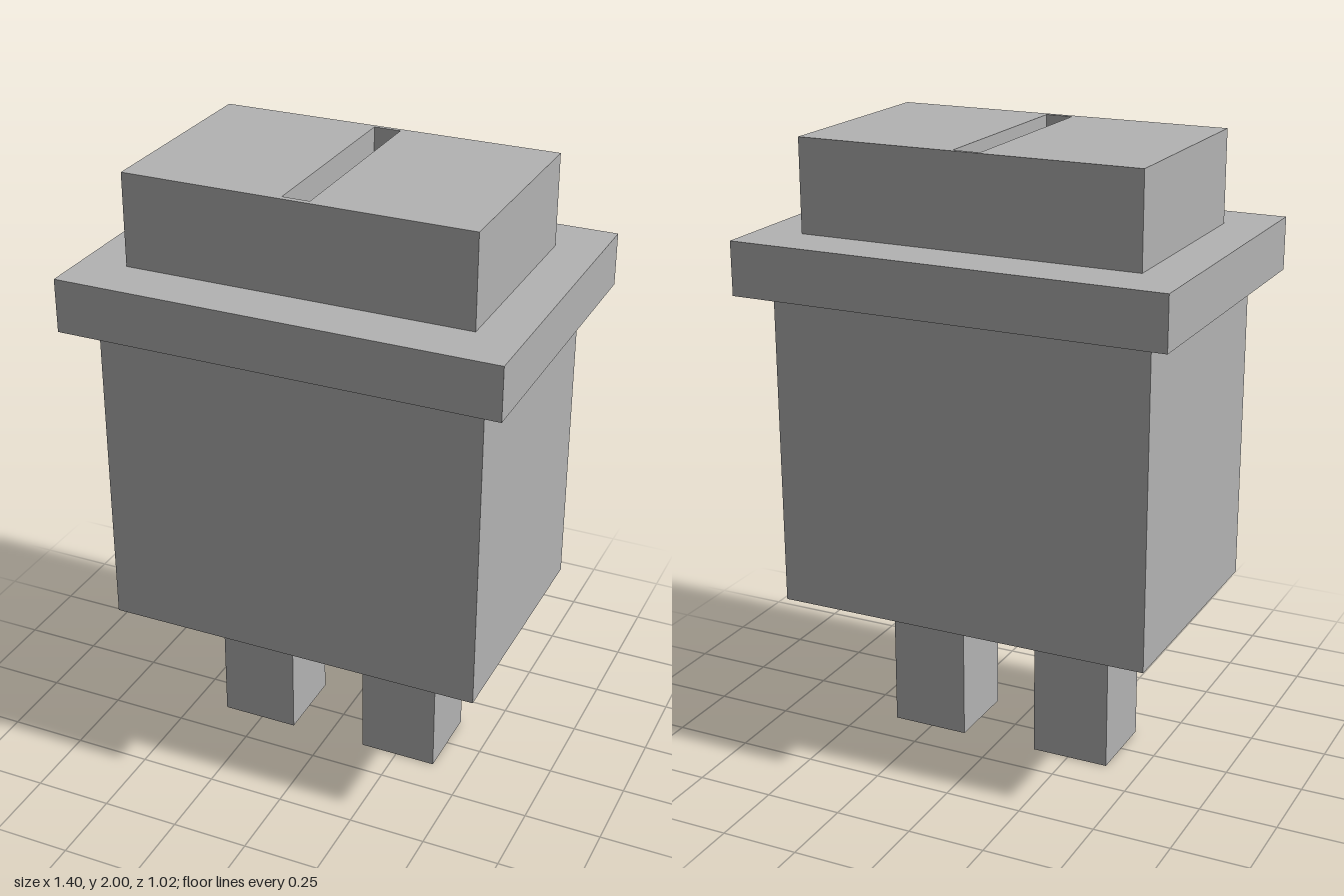
import * as THREE from 'three';

export function createModel() {
  const model = new THREE.Group();
  model.name = 'rockerSwitch';
  const grey = new THREE.MeshStandardMaterial({ color: 0xb3b3b3 });
  grey.name = 'plain grey';

  // Box with its underside at height y0
  function block(name, width, depth, y0, y1, x = 0, parent = model) {
    const mesh = new THREE.Mesh(new THREE.BoxGeometry(width, y1 - y0, depth), grey);
    mesh.position.set(x, (y0 + y1) / 2, 0);
    mesh.name = name;
    parent.add(mesh);
  }

  // Housing and mounting flange
  block('body', 1.232, 0.83, 0.513, 1.535);
  block('flange', 1.4, 1.02, 1.535, 1.705);

  // Two terminals under the housing
  block('leftTerminal', 0.256, 0.256, 0, 0.513, 0.255);
  block('rightTerminal', 0.256, 0.256, 0, 0.513, -0.257);

  // Button: solid base, then a top layer pierced by the slot
  const button = new THREE.Group();
  button.name = 'button';
  model.add(button);
  const width = 1.108, depth = 0.68, slotDepth = 0.086;
  block('buttonBase', width, depth, 1.705, 2 - slotDepth, 0, button);

  const rectangle = (Type, x0, y0, x1, y1) => new Type([
    new THREE.Vector2(x0, y0), new THREE.Vector2(x1, y0),
    new THREE.Vector2(x1, y1), new THREE.Vector2(x0, y1),
  ]);
  const outline = rectangle(THREE.Shape, -width / 2, -depth / 2, width / 2, depth / 2);
  outline.holes.push(rectangle(THREE.Path, -0.044, -0.322, 0.043, 0.326));
  const topGeometry = new THREE.ExtrudeGeometry(outline, { depth: slotDepth, bevelEnabled: false });
  topGeometry.rotateX(-Math.PI / 2);
  const top = new THREE.Mesh(topGeometry, grey);
  top.position.y = 2 - slotDepth;
  top.name = 'slottedButtonTop';
  button.add(top);

  return model;
}
